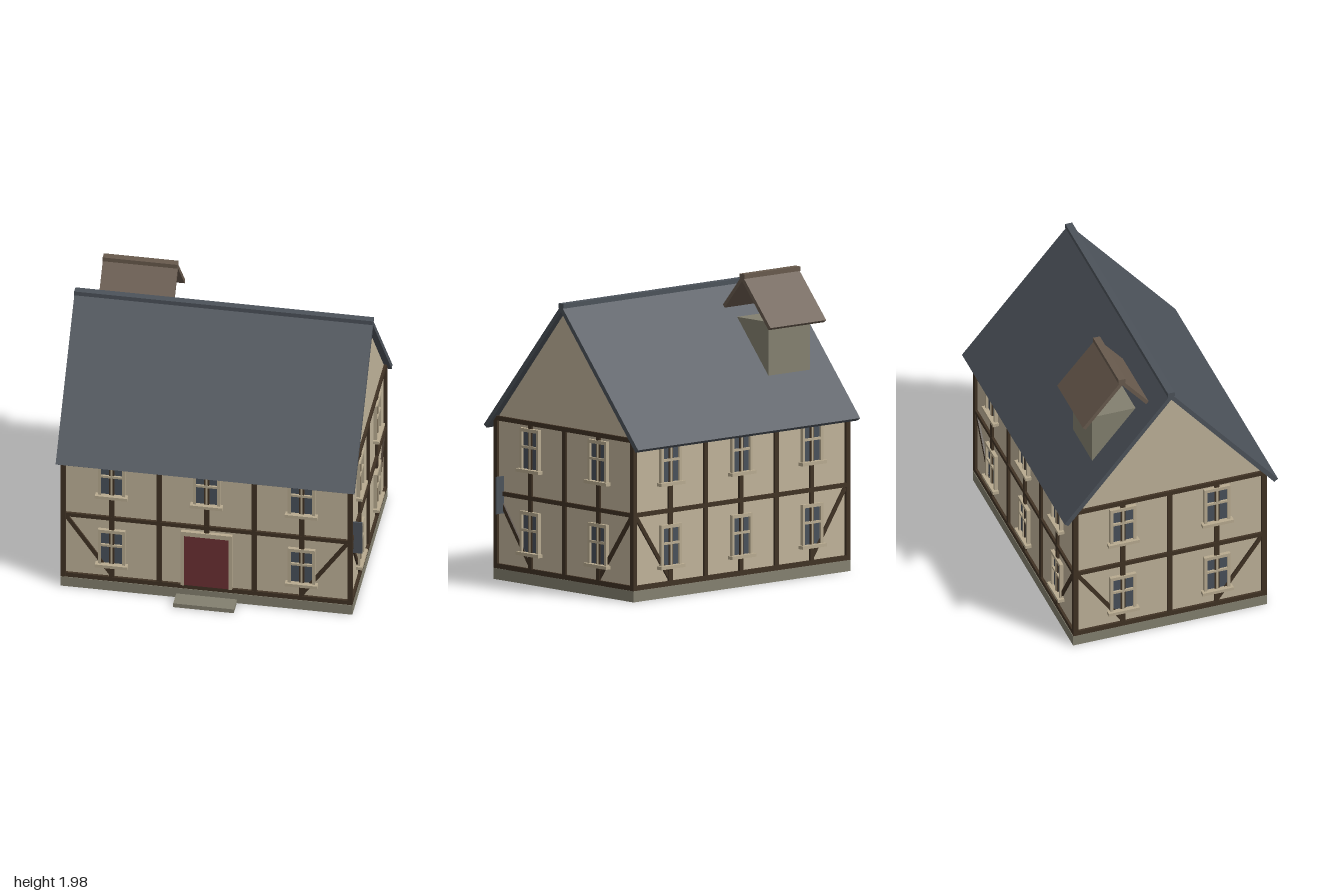
import * as THREE from 'three';

const mat = (name, color) => {
  const m = new THREE.MeshStandardMaterial({ color });
  m.name = name;
  return m;
};

export function createModel() {
  const plaster = mat('plaster', 0xbfb299);
  const trim = mat('trim', 0xb8ab90);
  const timber = mat('dark timber', 0x403224);
  const slate = mat('slate', 0x4c525a);
  const glass = mat('window glass', 0x48505a);
  const stone = mat('stone', 0x83806f);
  const doorRed = mat('door red', 0x6b3033);
  const shingle = mat('brown shingle', 0x685a4d);

  const house = new THREE.Group();
  house.name = 'house';

  // Box given by its minimum and maximum corners
  function block(parent, name, material, x0, x1, y0, y1, z0, z1) {
    const m = new THREE.Mesh(new THREE.BoxGeometry(x1 - x0, y1 - y0, z1 - z0), material);
    m.position.set((x0 + x1) / 2, (y0 + y1) / 2, (z0 + z1) / 2);
    m.name = name;
    parent.add(m);
    return m;
  }

  // Symmetric (z, y) profile extruded along x
  function profile(parent, name, material, points, length) {
    const shape = new THREE.Shape(points.map(([a, b]) => new THREE.Vector2(a, b)));
    const geo = new THREE.ExtrudeGeometry(shape, { depth: length, bevelEnabled: false });
    geo.translate(0, 0, -length / 2).rotateY(Math.PI / 2);
    const m = new THREE.Mesh(geo, material);
    m.name = name;
    parent.add(m);
    return m;
  }

  // Pitched roof: two slabs meeting at a ridge, with a ridge cap
  function pitchedRoof(name, material, o) {
    const g = new THREE.Group();
    g.name = name;
    profile(g, name + 'Slopes', material, [
      [0, o.top], [-o.outer, o.eave], [-o.inner, o.eaveLow],
      [0, o.under], [o.inner, o.eaveLow], [o.outer, o.eave],
    ], o.length);
    block(g, name + 'Ridge', material, -o.length / 2, o.length / 2, o.cap - 0.03, o.cap, -0.024, 0.024);
    house.add(g);
    return g;
  }

  // Window: glass, frame with an opening, glazing bars and a sill
  function addWindow(parent, x, y) {
    const g = new THREE.Group();
    g.name = 'window';
    g.position.set(x, y, 0);
    block(g, 'glass', glass, -0.072, 0.072, -0.122, 0.125, 0, 0.008);
    for (const s of [-1, 1]) {
      block(g, 'frameSide', trim, s * 0.08 - 0.01, s * 0.08 + 0.01, -0.125, 0.145, 0, 0.024);
    }
    block(g, 'frameTop', trim, -0.07, 0.07, 0.122, 0.145, 0, 0.024);
    block(g, 'verticalBar', trim, -0.007, 0.007, -0.122, 0.122, 0, 0.022);
    block(g, 'crossBar', trim, -0.07, 0.07, 0.014, 0.03, 0, 0.022);
    block(g, 'sill', trim, -0.107, 0.107, -0.145, -0.123, 0, 0.042);
    parent.add(g);
  }

  // One timber-framed wall, facing its own +z
  function facade(name, half, posts, windows, distance, turn) {
    const g = new THREE.Group();
    g.name = name;
    for (const x of posts) block(g, 'post', timber, x - 0.0165, x + 0.0165, 0.07, 1.06, -0.01, 0.016);
    for (const [y0, y1] of [[0.072, 0.105], [0.555, 0.583], [1.047, 1.077]]) {
      block(g, 'rail', timber, -half, half, y0, y1, -0.01, 0.017);
    }
    // Diagonal braces from the corners down to the next post
    const top = half - 0.02, foot = posts[posts.length - 1] - 0.005;
    for (const s of [-1, 1]) {
      const dx = top - foot, dy = 0.44;
      const b = new THREE.Mesh(new THREE.BoxGeometry(0.027, Math.hypot(dx, dy), 0.022), timber);
      b.position.set(s * (top + foot) / 2, 0.33, 0.001);
      b.rotation.z = -s * Math.atan2(dx, dy);
      b.name = 'brace';
      g.add(b);
    }
    for (const [x, y] of windows) addWindow(g, x, y);
    g.rotation.y = turn;
    g.position.set(Math.sin(turn) * distance, 0, Math.cos(turn) * distance);
    house.add(g);
    return g;
  }

  // Stone base and doorstep
  block(house, 'foundation', stone, -0.963, 0.963, 0, 0.073, -0.671, 0.671);
  block(house, 'doorstep', stone, -0.2, 0.2, 0, 0.03, 0.66, 0.785);

  // Plaster walls with gables
  profile(house, 'walls', plaster,
    [[-0.65, 0.07], [0.65, 0.07], [0.65, 1.06], [0, 1.835], [-0.65, 1.06]], 1.89);

  // Corner posts
  for (const x of [-1, 1]) for (const z of [-1, 1]) {
    const p = block(house, 'cornerPost', timber, -0.0165, 0.0165, 0.07, 1.06, -0.0165, 0.0165);
    p.position.x = x * 0.946;
    p.position.z = z * 0.6515;
  }

  // Four framed walls
  const low = 0.334, high = 0.882;
  const longPosts = [-0.627, -0.3135, 0, 0.3135, 0.627];
  const sidePosts = [-0.325, 0, 0.325];
  const upper = [-0.627, 0, 0.627].map(x => [x, high]);
  const sideWindows = [-0.325, 0.325].flatMap(x => [[x, low], [x, high]]);
  const front = facade('frontWall', 0.945, longPosts, [...upper, [-0.627, low], [0.627, low]], 0.65, 0);
  facade('backWall', 0.945, longPosts, [...upper, ...upper.map(([x]) => [x, low])], 0.65, Math.PI);
  facade('leftWall', 0.655, sidePosts, sideWindows, 0.945, Math.PI / 2);
  facade('rightWall', 0.655, sidePosts, sideWindows, 0.945, -Math.PI / 2);

  // Front door with surround
  block(front, 'door', doorRed, -0.147, 0.147, 0.103, 0.497, 0, 0.02);
  for (const s of [-1, 1]) {
    block(front, 'doorJamb', trim, s * 0.158 - 0.011, s * 0.158 + 0.011, 0.103, 0.53, 0, 0.026);
  }
  block(front, 'doorLintel', trim, -0.147, 0.147, 0.497, 0.53, 0, 0.026);

  // Main roof
  pitchedRoof('roof', slate, {
    top: 1.882, outer: 0.738, eave: 1.012, inner: 0.712, eaveLow: 0.993,
    under: 1.838, cap: 1.892, length: 1.97,
  });

  // Chimney with its small pitched hood
  block(house, 'chimney', stone, -0.785, -0.415, 1.2, 1.675, -0.475, -0.105);
  const hood = pitchedRoof('chimneyHood', shingle, {
    top: 1.968, outer: 0.272, eave: 1.652, inner: 0.252, eaveLow: 1.636,
    under: 1.93, cap: 1.977, length: 0.494,
  });
  hood.position.set(-0.6, 0, -0.29);

  // Hanging sign plate on the side wall
  block(house, 'signPlate', slate, 0.95, 1.016, 0.44, 0.685, 0.585, 0.594);

  // Centre the whole model on the origin
  house.position.set(-0.016, 0, -0.02);
  const model = new THREE.Group();
  model.name = 'timberFramedHouse';
  model.add(house);
  return model;
}
